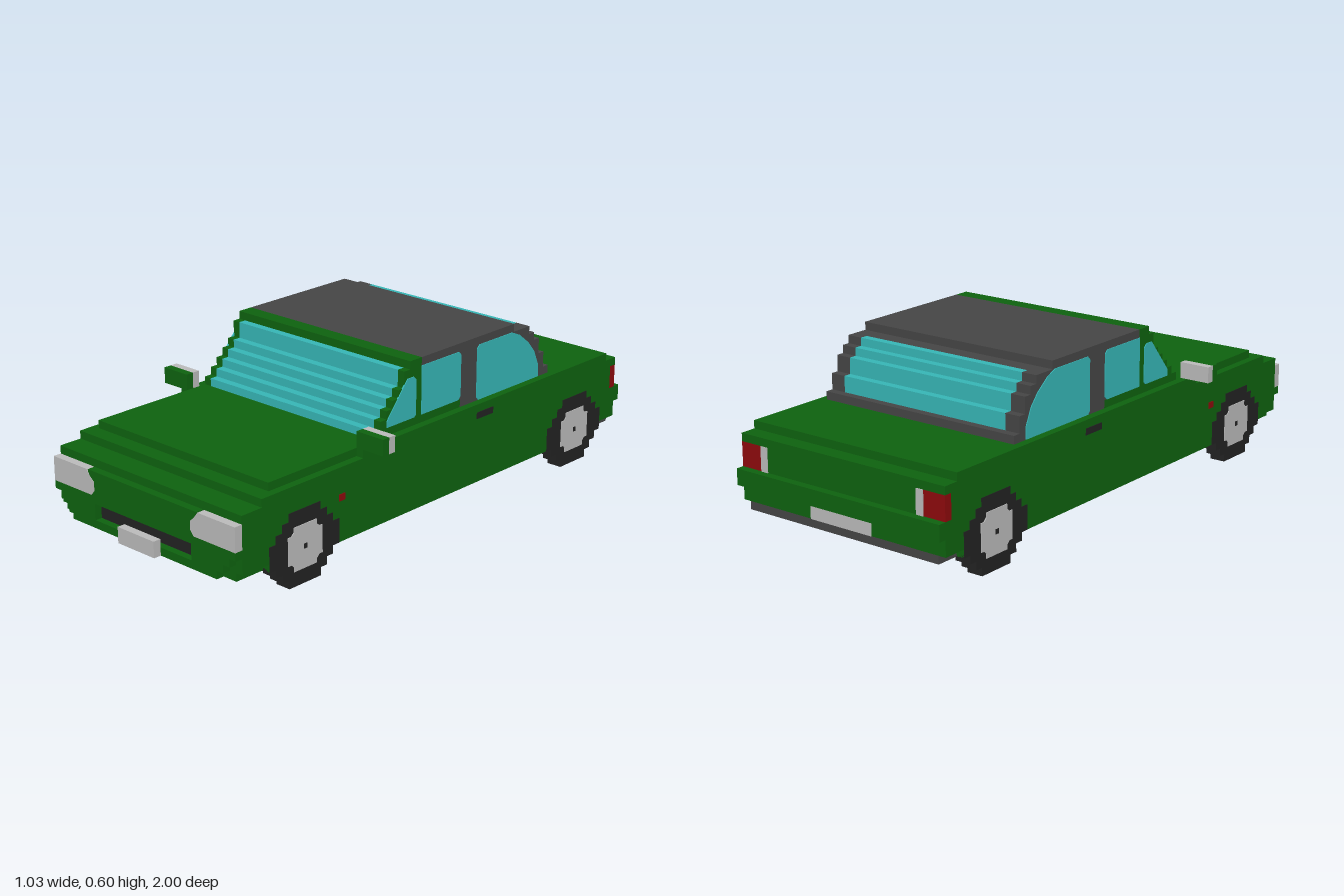
import * as THREE from 'three';

const U = 1 / 35; // one building block

export function createModel() {
  const car = new THREE.Group();
  car.name = 'car';

  const paint = (name, color) => {
    const m = new THREE.MeshStandardMaterial({ color });
    m.name = name;
    return m;
  };
  const green = paint('green paint', 0x0e620f);
  const roofGrey = paint('roof grey', 0x454545);
  const black = paint('rubber black', 0x222222);
  const silver = paint('light grey', 0xbababa);
  const glass = paint('glass', 0x36b5b5);
  const red = paint('tail red', 0x8c0a0c);

  const add = (name, geo, mat) => {
    const mesh = new THREE.Mesh(geo, mat);
    mesh.name = name;
    car.add(mesh);
    return mesh;
  };
  // Box given by its limits, in blocks
  const box = (name, mat, x0, x1, y0, y1, z0, z1) => {
    const geo = new THREE.BoxGeometry((x1 - x0) * U, (y1 - y0) * U, (z1 - z0) * U);
    geo.translate((x0 + x1) / 2 * U, (y0 + y1) / 2 * U, (z0 + z1) / 2 * U);
    return add(name, geo, mat);
  };
  // Box centred on x
  const slab = (name, mat, w, ...rest) => box(name, mat, -w, w, ...rest);
  // Two mirrored boxes
  const pair = (name, mat, x0, x1, ...rest) => {
    box(name + 'Left', mat, x0, x1, ...rest);
    box(name + 'Right', mat, -x1, -x0, ...rest);
  };
  const extrude = (points, depth) => new THREE.ExtrudeGeometry(
    new THREE.Shape(points.map(([a, b]) => new THREE.Vector2(a * U, b * U))),
    { depth: depth * U, bevelEnabled: false });
  // Thin plate on both flanks, outlined in (z, y)
  const sidePlates = (name, mat, x, points) => {
    for (const s of [1, -1]) {
      const geo = extrude(points, 0.2);
      geo.rotateY(-Math.PI / 2);
      geo.translate((s * x + 0.1) * U, 0, 0);
      add(name + (s > 0 ? 'Left' : 'Right'), geo, mat);
    }
  };

  // Body layers
  slab('sill', green, 15, 3, 4, -31, 29);
  slab('frontSill', green, 14, 3, 4, 29, 33);
  slab('rearValance', roofGrey, 14, 3, 4, -34, -31);
  slab('lowerBody', green, 15, 4, 8, -34, 33);
  slab('upperBody', green, 15, 8, 11, -33, 33);
  slab('tailPanel', green, 12, 8, 11, -34, -33);
  slab('shoulder', green, 15, 11, 12, -34, 30);
  slab('deck', green, 15, 12, 13, -32, 14);
  slab('hood', green, 14, 12, 13, 14, 28);
  slab('underside', black, 14.8, 2.9, 3.05, -31, 29);

  // Front end with stepped lower corners and recessed grille
  slab('nose', green, 9, 7, 10, 33, 34);
  slab('frontBumper', green, 15, 6, 7, 33, 34);
  pair('bumperCorner', green, 8, 14, 5, 6, 33, 34);
  pair('bumperLowerCorner', green, 8, 13, 4, 5, 33, 34);
  slab('frontLip', green, 12, 3, 4, 33, 34);
  slab('grille', black, 8, 4, 6, 33, 33.1);
  slab('frontPlate', silver, 3, 3, 5, 34, 35);
  for (const s of [1, -1]) {
    const outline = [[15, 7], [15, 10], [9.2, 10], [8.6, 9.2], [8, 8.7], [8, 7.6], [8.5, 7]];
    const geo = extrude(outline.map(([x, y]) => [s * x, y]), 1.04);
    geo.translate(0, 0, 33 * U);
    add(s > 0 ? 'headlightLeft' : 'headlightRight', geo, silver);
  }

  // Rear end
  slab('rearBumper', green, 15, 6, 8, -35, -34);
  slab('rearPlate', silver, 4.5, 4, 6, -34.1, -34);
  pair('tailLight', red, 12, 15, 8, 11, -34, -33);
  pair('reverseLight', silver, 11, 12, 8, 11, -34.1, -34);

  // Stepped cabin: front and rear limit of each row
  const rows = [[11, -21], [10, -20], [9, -20], [8, -19], [7, -19], [6, -18], [6, -17], [5, -14]];
  rows.forEach(([front, rear], i) => {
    const y = 13 + i;
    if (i === 7) {
      slab('roofFront', green, 14, y, y + 1, 3, front);
      slab('roof', roofGrey, 14, y, y + 1, rear, 3);
      return;
    }
    slab('windshield', glass, 13, y, y + 1, 3, front);
    pair('windshieldFrame', green, 13, 14, y, y + 1, 3, front);
    if (i === 0) {
      slab('doorTop', green, 14, y, y + 1, -4, 3);
      slab('rearWindowBase', roofGrey, 14, y, y + 1, rear, -4);
    } else {
      slab('cabin', roofGrey, 12, y, y + 1, -16, 3);
      slab('rearWindow', glass, 12, y, y + 1, rear, -16);
      pair('cabinSide', roofGrey, 12, 14, y, y + 1, rear, 3);
    }
  });

  // Side windows
  sidePlates('quarterWindow', glass, 14,
    [[9, 14], [9, 14.8], [5.5, 19], [4.4, 19], [4, 18.6], [4, 14.3], [4.3, 14]]);
  sidePlates('frontWindow', glass, 14,
    [[3, 14], [3, 20], [-3.6, 20], [-4, 19.6], [-4, 14.4], [-3.6, 14]]);
  sidePlates('rearSideWindow', glass, 14,
    [[-7.3, 13.05], [-7, 13.4], [-7, 19.6], [-7.4, 20], [-13.6, 20], [-15, 19.4],
      [-16.8, 18], [-18, 16.6], [-18.9, 14.6], [-18.9, 13.05]]);

  // Door handles, side markers and mirrors
  pair('doorHandle', black, 15, 15.1, 11.2, 12, -9, -6);
  pair('sideMarker', red, 15, 15.1, 8, 8.8, 17, 18);
  pair('mirrorShell', green, 14, 18, 13, 15, 13, 14);
  pair('mirrorGlass', silver, 14, 18, 13, 15, 12, 13);

  // Wheels: half width of each row, with a hub plate
  const halfWidths = [2.5, 3.5, 4.5, 5.5, 5.5, 5.5, 4.5, 3.5, 2.5];
  for (const [name, z] of [['frontWheel', 23.5], ['rearWheel', -25.5]]) {
    halfWidths.forEach((h, y) => pair(name, black, 13, 15.06, y, y + 1, z - h, z + h));
    const corners = [[1.8, 2.65], [1.8, 2.1], [2.2, 1.7], [2.7, 1.7]];
    const hub = [[1, 1], [1, -1], [-1, -1], [-1, 1]].flatMap(([sz, sy], i) =>
      (i % 2 ? [...corners].reverse() : corners).map(([a, b]) => [z + sz * a, 4.5 + sy * b]));
    sidePlates(name + 'Hub', silver, 15.06, hub);
    pair(name + 'Cap', black, 15.1, 15.2, 4.2, 4.8, z - 0.25, z + 0.25);
  }
  return car;
}
